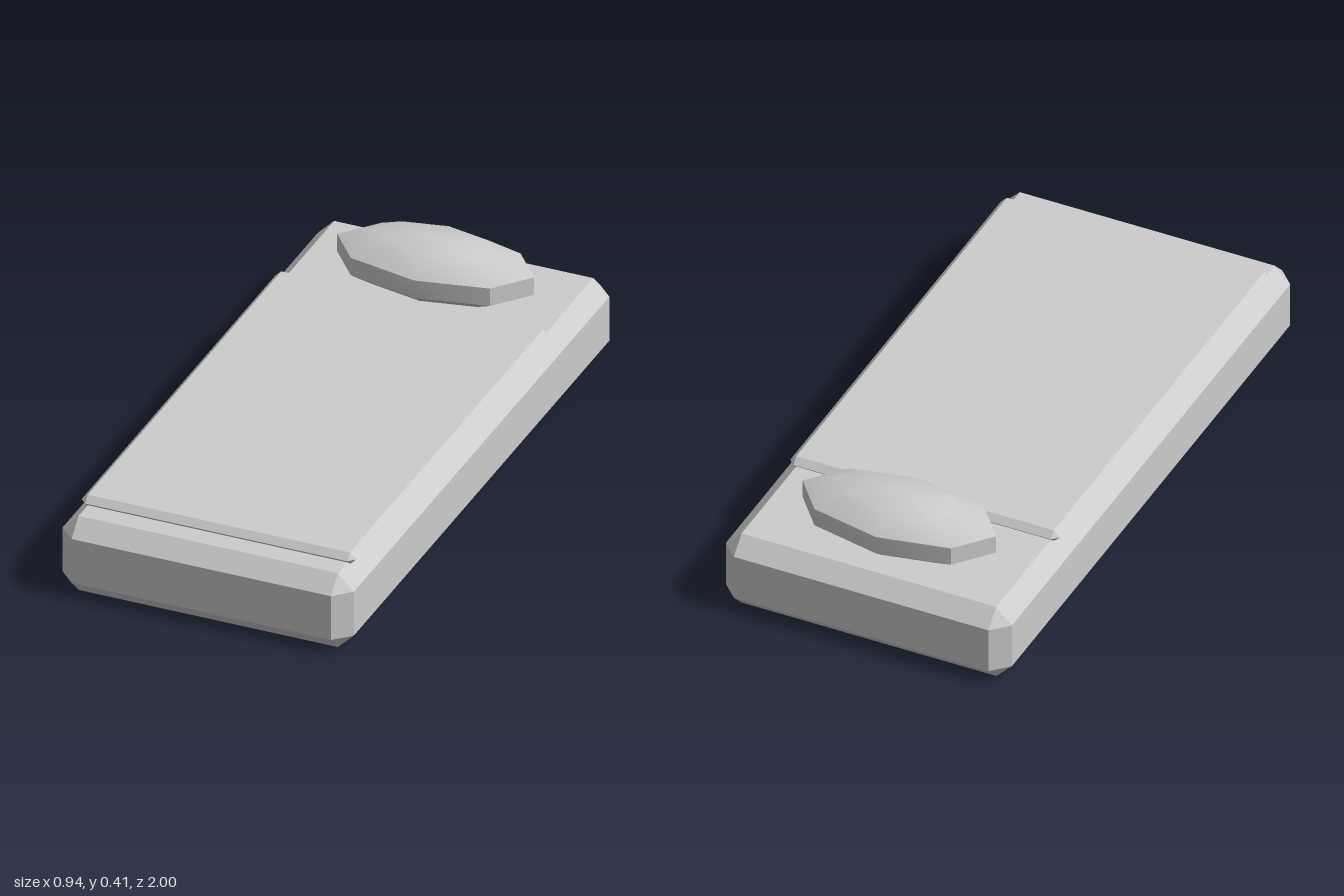
import * as THREE from 'three';
import { toCreasedNormals } from 'three/addons/utils/BufferGeometryUtils.js';
import { ConvexGeometry } from 'three/addons/geometries/ConvexGeometry.js';

const grey = new THREE.MeshStandardMaterial({ color: 0xcccccc });
grey.name = 'light grey';

// Box with every edge cut at 45 degrees, including triangular corner cuts.
function chamferedBox(width, height, depth, cut) {
  const points = [];
  const [x, y, z] = [width / 2, height / 2, depth / 2];
  for (const sx of [-1, 1]) for (const sy of [-1, 1]) for (const sz of [-1, 1]) {
    points.push(
      new THREE.Vector3(sx * x, sy * (y - cut), sz * (z - cut)),
      new THREE.Vector3(sx * (x - cut), sy * y, sz * (z - cut)),
      new THREE.Vector3(sx * (x - cut), sy * (y - cut), sz * z),
    );
  }
  return new ConvexGeometry(points);
}

function addPart(group, name, geometry, x, y, z) {
  const mesh = new THREE.Mesh(geometry, grey);
  mesh.name = name;
  mesh.position.set(x, y, z);
  group.add(mesh);
}

export function createModel() {
  const bed = new THREE.Group();
  bed.name = 'bed';

  // Thick mattress block
  addPart(bed, 'mattress', chamferedBox(0.945, 0.255, 2, 0.052), 0, 0.1275, 0);

  // Thin cover, leaving the head end free
  addPart(bed, 'blanket', chamferedBox(0.89, 0.04, 1.475, 0.0199), 0, 0.265, 0.152);

  // Flattened eight-sided pillow, partly sunk into the mattress
  const pillow = new THREE.SphereGeometry(1, 8, 5);
  pillow.scale(0.336, 0.097, 0.168);
  addPart(bed, 'pillow', toCreasedNormals(pillow, Math.PI / 6), 0, 0.315, -0.74);

  return bed;
}
